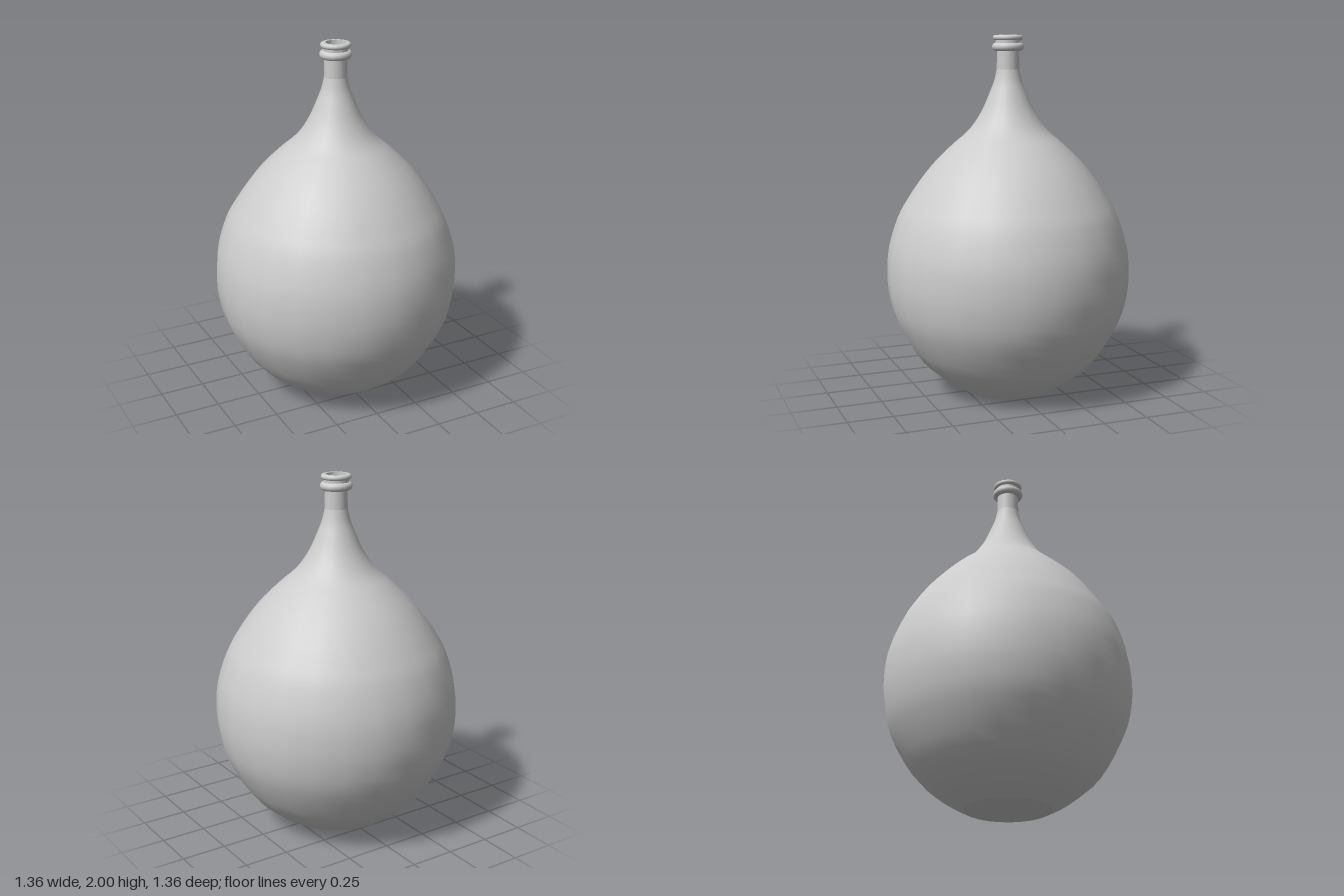
import * as THREE from 'three';

const SIDES = 24;
const material = new THREE.MeshStandardMaterial({ color: 0xcccccc, side: THREE.DoubleSide });

const lathe = (name, points) => {
  const mesh = new THREE.Mesh(new THREE.LatheGeometry(points, SIDES), material);
  mesh.name = name;
  return mesh;
};
const vectors = (pairs) => pairs.map(([r, y]) => new THREE.Vector2(r, y));
const smooth = (pairs, count) => new THREE.SplineCurve(vectors(pairs)).getPoints(count);

// Half-round bead outline, bulging outward from radius r
const bead = (r, y, bulge, halfHeight) => Array.from({ length: 9 }, (_, i) => {
  const a = -Math.PI / 2 + (Math.PI * i) / 8;
  return [r + bulge * Math.cos(a), y + halfHeight * Math.sin(a)];
});

export function createModel() {
  const bottle = new THREE.Group();
  bottle.name = 'bottle';

  // Round belly: elliptical below its widest point, tapering to the shoulder and neck
  bottle.add(lathe('body', smooth([
    [0.235, 0], [0.36, 0.07], [0.507, 0.2], [0.625, 0.4], [0.669, 0.55], [0.681, 0.69],
    [0.667, 0.84], [0.617, 1.0], [0.562, 1.1], [0.495, 1.2], [0.413, 1.3], [0.31, 1.4],
    [0.245, 1.455], [0.195, 1.51], [0.145, 1.59], [0.105, 1.68], [0.078, 1.75], [0.063, 1.815],
  ], 51)));

  // Flat base
  const base = new THREE.Mesh(new THREE.CircleGeometry(0.235, SIDES), material);
  base.name = 'base';
  base.rotation.x = Math.PI / 2;
  bottle.add(base);

  // Straight neck
  bottle.add(lathe('neck', vectors([[0.063, 1.815], [0.061, 1.92]])));

  // Two beads around the mouth
  bottle.add(lathe('lowerLip', vectors([[0.061, 1.914], ...bead(0.068, 1.936, 0.02, 0.022), [0.06, 1.958]])));
  bottle.add(lathe('lipGroove', vectors([[0.069, 1.955], [0.069, 1.978]])));
  bottle.add(lathe('upperLip', vectors([[0.061, 1.972], ...bead(0.07, 1.986, 0.013, 0.014), [0.055, 2]])));

  // Inside of the mouth
  bottle.add(lathe('bore', vectors([[0.055, 2], [0.055, 1.815]])));

  return bottle;
}
